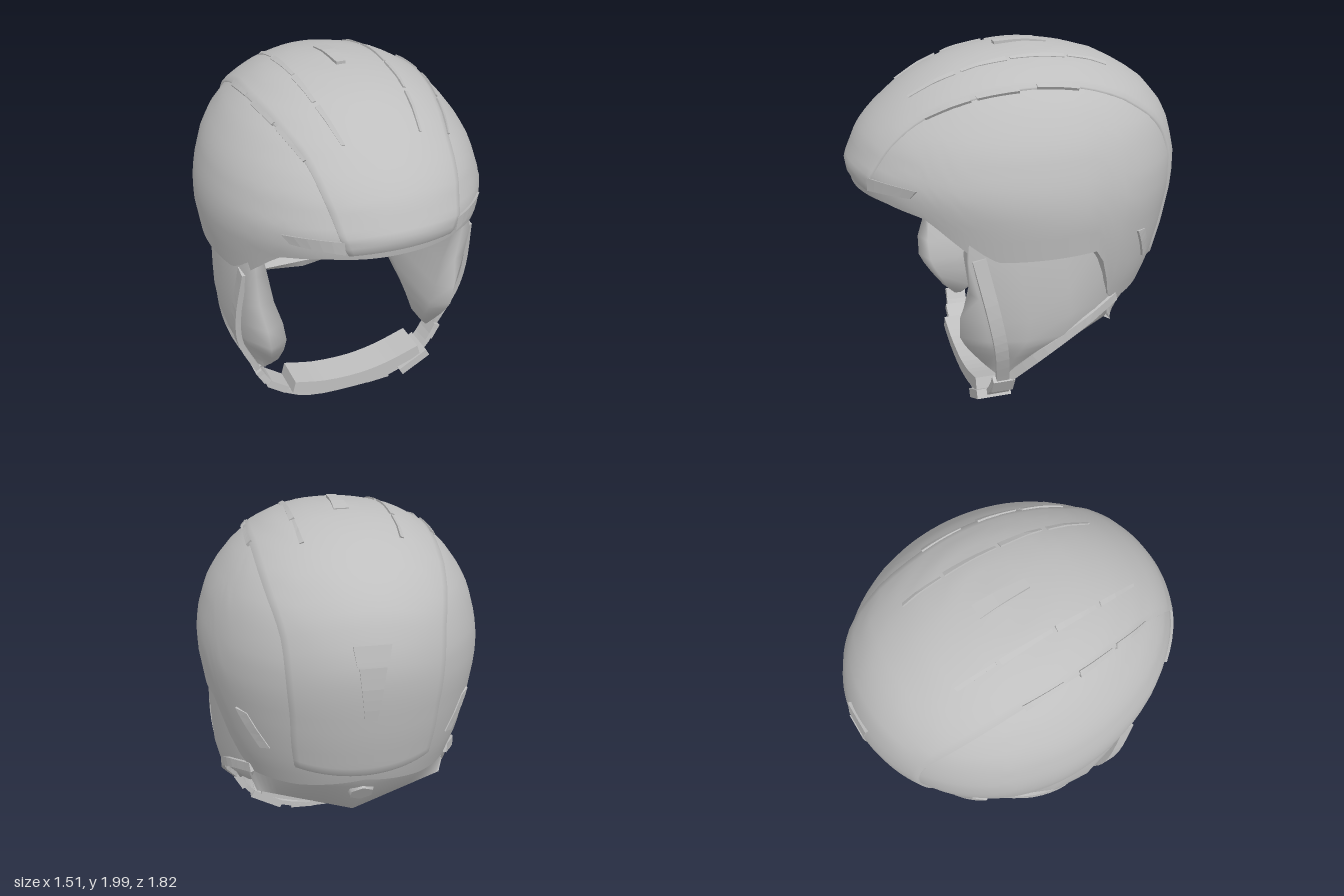
import * as THREE from 'three';
import { mergeGeometries } from 'three/addons/utils/BufferGeometryUtils.js';

const V = (x, y, z) => new THREE.Vector3(x, y, z);
const grey = new THREE.MeshStandardMaterial({ color: 0xbfbfbf, side: THREE.DoubleSide });
grey.name = 'plain grey';

// linear interpolation in a table whose rows start with an ascending key
function lookup(table, k) {
  let i = 1;
  while (i < table.length - 1 && table[i][0] < k) i++;
  const a = table[i - 1], b = table[i];
  const t = THREE.MathUtils.clamp((k - a[0]) / (b[0] - a[0]), 0, 1);
  return a.map((v, n) => v + (b[n] - v) * t);
}

// shell sections: height, half width, front z, back z
const TOP = 1.972;
const SECTIONS = [
  [0.6, 0.61, 0.62, -0.72], [0.8, 0.68, 0.72, -0.8], [1.0, 0.725, 0.79, -0.85], [1.2, 0.755, 0.84, -0.885],
  [1.3, 0.758, 0.885, -0.895], [1.4, 0.745, 0.9, -0.895], [1.55, 0.7, 0.835, -0.855], [1.64, 0.652, 0.765, -0.81],
  [1.75, 0.57, 0.64, -0.715], [1.83, 0.48, 0.52, -0.6], [1.9, 0.36, 0.37, -0.46], [1.945, 0.22, 0.19, -0.3],
  [TOP, 0.001, -0.06, -0.062]];
// rim height by angle from the front
const RIM = [[0, 1.29], [0.5, 1.28], [0.78, 1.24], [1.06, 1.04], [1.2, 1.02], [1.86, 1.03], [2.02, 0.72],
  [2.14, 0.645], [2.6, 0.67], [Math.PI, 0.73]];

function shellPoint(a, y) {
  const [, w, f, b] = lookup(SECTIONS, y);
  return V(w * Math.sin(a), y, (f + b) / 2 + (f - b) / 2 * Math.cos(a));
}

// push a point out along its ray from the middle until it lies on the shell
function onShell(p, lift = 0) {
  const o = V(0, 1.1, 0), d = p.clone().sub(o).normalize();
  let lo = 0, hi = 1.5;
  for (let i = 0; i < 24; i++) {
    const m = (lo + hi) / 2, q = o.clone().addScaledVector(d, m);
    const [, w, f, b] = lookup(SECTIONS, q.y);
    const inside = q.y < TOP && (q.x / w) ** 2 + ((q.z - (f + b) / 2) / ((f - b) / 2)) ** 2 < 1;
    if (inside) lo = m; else hi = m;
  }
  return o.addScaledVector(d, lo + lift);
}

// surface through rows of points
function grid(rows, closed = false, flat = false) {
  const n = rows[0].length, index = [];
  for (let i = 0; i < rows.length - 1; i++) {
    for (let j = 0; j < (closed ? n : n - 1); j++) {
      const a = i * n + j, b = i * n + (j + 1) % n;
      index.push(a, a + n, b, b, a + n, b + n);
    }
  }
  let g = new THREE.BufferGeometry().setFromPoints(rows.flat());
  g.setIndex(index);
  if (flat) g = g.toNonIndexed();
  g.computeVertexNormals();
  return g;
}

// flat strap swept along a curve, with end caps
function ribbon(points, across, width, thick, steps = 12) {
  const curve = new THREE.CatmullRomCurve3(points);
  const rows = [];
  for (let i = 0; i <= steps; i++) {
    const c = curve.getPoint(i / steps), t = curve.getTangent(i / steps);
    const w = across.clone().addScaledVector(t, -across.dot(t)).normalize();
    const n = t.clone().cross(w);
    rows.push([[1, 1], [-1, 1], [-1, -1], [1, -1]].map(([s, r]) =>
      c.clone().addScaledVector(w, s * width / 2).addScaledVector(n, r * thick / 2)));
    if (i === 0) rows.unshift(rows[0].map(() => c.clone()));
    if (i === steps) rows.push(rows[0].map(() => c.clone()));
  }
  return grid(rows, true, true);
}

// small raised ridge following the shell from edge c0-c1 to edge c3-c2; lifts are the corner heights
function wedge([c0, c1, c2, c3], [l0, l1, l2, l3], steps = 5) {
  const mix = THREE.MathUtils.lerp, rows = [];
  for (let i = 0; i <= steps; i++) {
    const t = i / steps;
    const a = c0.clone().lerp(c3, t), b = c1.clone().lerp(c2, t);
    rows.push([onShell(a, -0.02), onShell(a, mix(l0, l3, t)), onShell(b, mix(l1, l2, t)), onShell(b, -0.02)]);
  }
  const cap = r => r.map(() => r[0].clone().lerp(r[2], 0.5));
  return grid([cap(rows[0]), ...rows, cap(rows[steps])], true, true);
}

export function createModel() {
  const model = new THREE.Group();
  const add = (name, geometry) => {
    const m = new THREE.Mesh(geometry, grey);
    m.name = name;
    model.add(m);
    return m;
  };
  const both = (name, make) => [1, -1].forEach(s => add((s > 0 ? 'left' : 'right') + name, make(s)));

  // outer shell, inner liner and the rim joining them
  const N = 96, R = 26, outer = [];
  for (let j = 0; j <= R; j++) {
    const row = [];
    for (let i = 0; i < N; i++) {
      const a = i / N * Math.PI * 2, rim = lookup(RIM, Math.min(a, 2 * Math.PI - a))[1];
      row.push(shellPoint(a, rim + (TOP - rim) * Math.sin(j / R * Math.PI / 2)));
    }
    outer.push(row);
  }
  const inner = outer.map(r => r.map(p => V(p.x * 0.84, p.y > 1 ? 1 + (p.y - 1) * 0.9 : p.y, p.z * 0.84)));
  add('outerShell', grid(outer, true));
  add('innerLiner', grid(inner, true));
  add('shellRim', grid([outer[0], inner[0]], true));

  // raised centre panel running from brow to nape; points of its seam
  const seam = [[0.28, 1.31, 0.86], [0.31, 1.4, 0.82], [0.34, 1.53, 0.74], [0.4, 1.73, 0.58], [0.45, 1.81, 0.3],
    [0.475, 1.83, 0], [0.48, 1.83, -0.22], [0.46, 1.71, -0.55], [0.42, 1.53, -0.76], [0.4, 1.2, -0.82],
    [0.38, 0.92, -0.77], [0.36, 0.77, -0.74]];
  const path = new THREE.CatmullRomCurve3(seam.map(p => V(...p)));
  const panel = [];
  for (let i = 0; i <= 44; i++) {
    const e = path.getPoint(i / 44), row = [];
    const lift = i === 0 || i === 44 ? -0.005 : 0.012;
    for (let k = -10; k <= 10; k++) row.push(onShell(V(e.x * k / 10, e.y, e.z), lift));
    row.unshift(onShell(V(-e.x - 0.004, e.y, e.z), -0.005));
    row.push(onShell(V(e.x + 0.004, e.y, e.z), -0.005));
    panel.push(row);
  }
  add('centrePanel', grid(panel));

  // vents on the crown: x, z and y at each end, half width
  const vents = [
    [0.25, -0.44, 1.88, 0.25, -0.22, 1.92, 0.012], [0.255, -0.2, 1.92, 0.25, 0.08, 1.93, 0.015],
    [0.25, 0.1, 1.92, 0.24, 0.33, 1.88, 0.016], [0.235, 0.36, 1.87, 0.2, 0.59, 1.76, 0.013],
    [0.48, -0.21, 1.83, 0.475, 0.01, 1.84, 0.02], [0.47, 0.1, 1.83, 0.45, 0.31, 1.81, 0.02],
    [0.44, 0.34, 1.8, 0.4, 0.58, 1.73, 0.016]];
  both('CrownVents', s => mergeGeometries(vents.map(([xa, za, ya, xb, zb, yb, h]) => wedge(
    [V(s * (xa - h), ya, za), V(s * (xa + h), ya, za), V(s * (xb + h * 0.6), yb, zb), V(s * (xb - h * 0.6), yb, zb)],
    [0.022, 0.016, 0.016, 0.02]))));

  // brow vents and slanted rear side vents
  both('BrowVent', s => wedge([V(s * 0.3, 1.395, 0.84), V(s * 0.3, 1.33, 0.86), V(s * 0.51, 1.34, 0.67),
    V(s * 0.54, 1.385, 0.64)], [0.016, 0.02, 0.004, 0.012]));
  both('RearVent', s => wedge([V(s * 0.6, 1.07, -0.5), V(s * 0.56, 1.06, -0.57), V(s * 0.47, 0.88, -0.65),
    V(s * 0.51, 0.87, -0.6)], [0.012, 0.005, 0.005, 0.012]));

  // crown slot and rear clip
  add('crownSlot', wedge([V(-0.04, 1.97, -0.18), V(0.04, 1.97, -0.18), V(0.025, 1.97, 0.1), V(-0.025, 1.97, 0.1)],
    [0.018, 0.018, 0.028, 0.028]));
  add('rearClipTop', wedge([V(-0.09, 1.5, -0.87), V(0.09, 1.5, -0.87), V(0.075, 1.41, -0.9), V(-0.075, 1.41, -0.9)],
    [0.03, 0.03, 0.019, 0.019]));
  add('rearClipTongue', wedge([V(-0.065, 1.4, -0.9), V(0.065, 1.4, -0.9), V(0.03, 1.12, -0.87), V(-0.03, 1.12, -0.87)],
    [0.022, 0.022, 0.018, 0.018]));

  // neck band: outer wall, lower edge and inner wall swept round the back
  const neck = [[], [], []];
  for (let i = 0; i <= 32; i++) {
    const a = 2.0 + i / 32 * (2 * Math.PI - 4), s = Math.sin(a), f = Math.abs(s) / 0.87;
    const top = shellPoint(a, 0.8);
    const low = V(0.56 * s, 0.39 + 0.12 * f, -0.5 + 0.08 * f);
    const lip = V(0.51 * s, 0.45 + 0.07 * f, -0.47 + 0.09 * f);
    neck[0].push([V(top.x * 0.96, 0.8, top.z * 0.96), V(top.x * 0.93, 0.68, top.z * 0.93), low]);
    neck[1].push([low, lip]);
    neck[2].push([lip, V(top.x * 0.79, 0.66, top.z * 0.76), V(top.x * 0.82, 0.82, top.z * 0.82),
      V(top.x * 0.86, 1.02, top.z * 0.885)]);
  }
  ['neckBandOuter', 'neckBandEdge', 'neckBandInner'].forEach((name, i) => add(name, grid(neck[i])));
  const dial = add('neckDial', new THREE.CylinderGeometry(0.065, 0.08, 0.04, 6));
  dial.position.set(0, 0.62, -0.69);
  dial.rotation.x = -Math.PI / 2 - 0.6;

  // padded ear flaps: height, front z, back z, outer x, outer x at the back, inner x, forward reach of the pad
  const flap = [
    [1.2, 0.4, -0.4, 0.68, 0.6, 0.57, 0], [1.02, 0.41, -0.43, 0.7, 0.59, 0.54, 0],
    [0.82, 0.36, -0.45, 0.705, 0.545, 0.5, 0.03], [0.68, 0.33, -0.45, 0.7, 0.51, 0.46, 0.11],
    [0.56, 0.31, -0.37, 0.69, 0.54, 0.44, 0.13], [0.5, 0.29, -0.22, 0.67, 0.57, 0.44, 0.12],
    [0.44, 0.27, -0.07, 0.64, 0.57, 0.44, 0.1], [0.35, 0.25, 0.06, 0.59, 0.56, 0.455, 0.05],
    [0.27, 0.22, 0.15, 0.56, 0.55, 0.52, 0]];
  both('EarFlap', s => {
    const rows = flap.map(([y, f, b, o, k, n, r]) => {
      const L = f - b, m = (o + n) / 2;
      return [V(o - 0.05, y, f), V(o, y, b + L * 0.72), V(o - 0.015, y, b + L * 0.42),
        V(k + (o - k) * 0.52, y, b + L * 0.2), V(k, y, b), V(Math.min(n + 0.03, k - 0.02), y, b + 0.02),
        V(n, y, b + L * 0.45), V(n, y, f + r * 0.6), V(m - 0.02, y, f + r)].map(p => p.setX(p.x * s));
    });
    rows.push(rows[rows.length - 1].map(() => V(s * 0.54, 0.26, 0.185)));
    return grid(rows, true);
  });

  // straps over the ear flaps
  both('FrontStrap', s => ribbon([V(s * 0.655, 1.04, 0.36), V(s * 0.685, 0.72, 0.29), V(s * 0.665, 0.52, 0.25),
    V(s * 0.55, 0.25, 0.21)], V(0, 0, 1), 0.07, 0.03));
  both('RearStrap', s => ribbon([V(s * 0.535, 0.67, -0.43), V(s * 0.64, 0.6, -0.22), V(s * 0.655, 0.47, 0.0),
    V(s * 0.55, 0.26, 0.2)], V(0, 1, 0), 0.05, 0.02));
  both('StrapJoiner', s => {
    const g = new THREE.BoxGeometry(0.04, 0.1, 0.12);
    g.rotateZ(s * -0.5);
    return g.translate(s * 0.545, 0.24, 0.21);
  });

  // chin strap with its pad and buckle
  add('chinStrap', ribbon([V(-0.55, 0.25, 0.21), V(-0.47, 0.15, 0.22), V(-0.3, 0.055, 0.23), V(0, 0.02, 0.23),
    V(0.25, 0.035, 0.23), V(0.46, 0.14, 0.22), V(0.55, 0.25, 0.21)], V(0, 0, 1), 0.12, 0.03, 20));
  add('chinPad', ribbon([V(-0.38, 0.15, 0.23), V(-0.2, 0.105, 0.23), V(0.03, 0.09, 0.23), V(0.22, 0.115, 0.23),
    V(0.42, 0.175, 0.23)], V(0, 0, 1), 0.19, 0.075));
  const buckle = add('buckle', new THREE.BoxGeometry(0.2, 0.05, 0.19));
  buckle.position.set(0.39, 0.1, 0.24);
  buckle.rotation.z = 0.5;
  const tab = add('buckleTab', new THREE.BoxGeometry(0.14, 0.025, 0.12));
  tab.position.set(0.17, 0.0147, 0.23);
  tab.rotation.z = 0.03;
  const slider = add('strapSlider', new THREE.BoxGeometry(0.13, 0.045, 0.13));
  slider.position.set(-0.46, 0.15, 0.22);
  slider.rotation.z = -0.65;
  return model;
}
